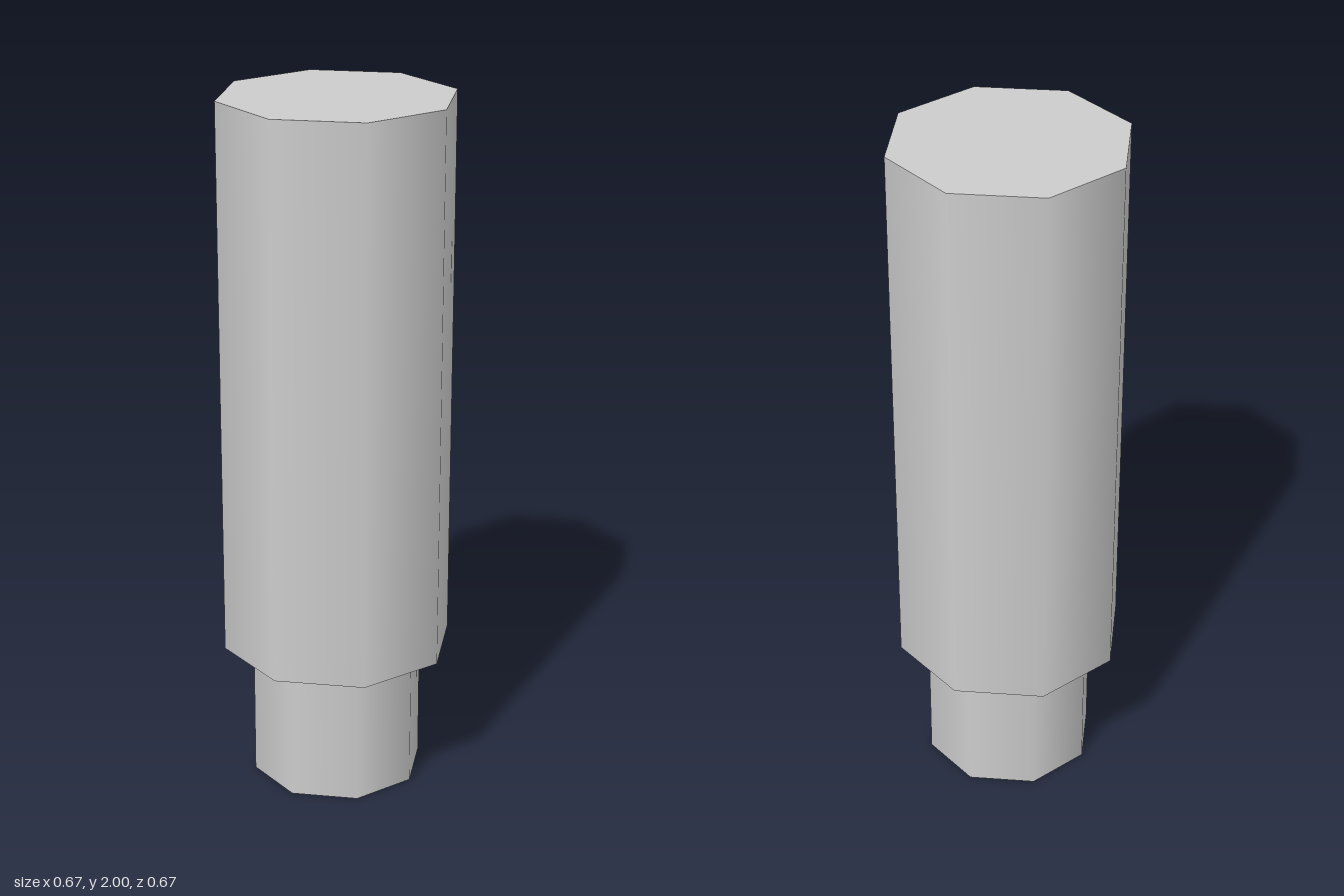
import * as THREE from 'three';

const material = new THREE.MeshStandardMaterial({ color: 0xcccccc });

// Eight-sided capped prism with smooth sides, standing on y = bottom
function prism(name, radius, bottom, top) {
  const geometry = new THREE.CylinderGeometry(radius, radius, top - bottom, 8);
  geometry.translate(0, (bottom + top) / 2, 0);
  const mesh = new THREE.Mesh(geometry, material);
  mesh.name = name;
  return mesh;
}

export function createModel() {
  const group = new THREE.Group();
  group.name = 'steppedPeg';
  group.add(
    prism('lowerStem', 0.248, 0, 0.4), // narrow foot
    prism('upperBody', 0.333, 0.4, 2), // wide body
  );
  return group;
}
